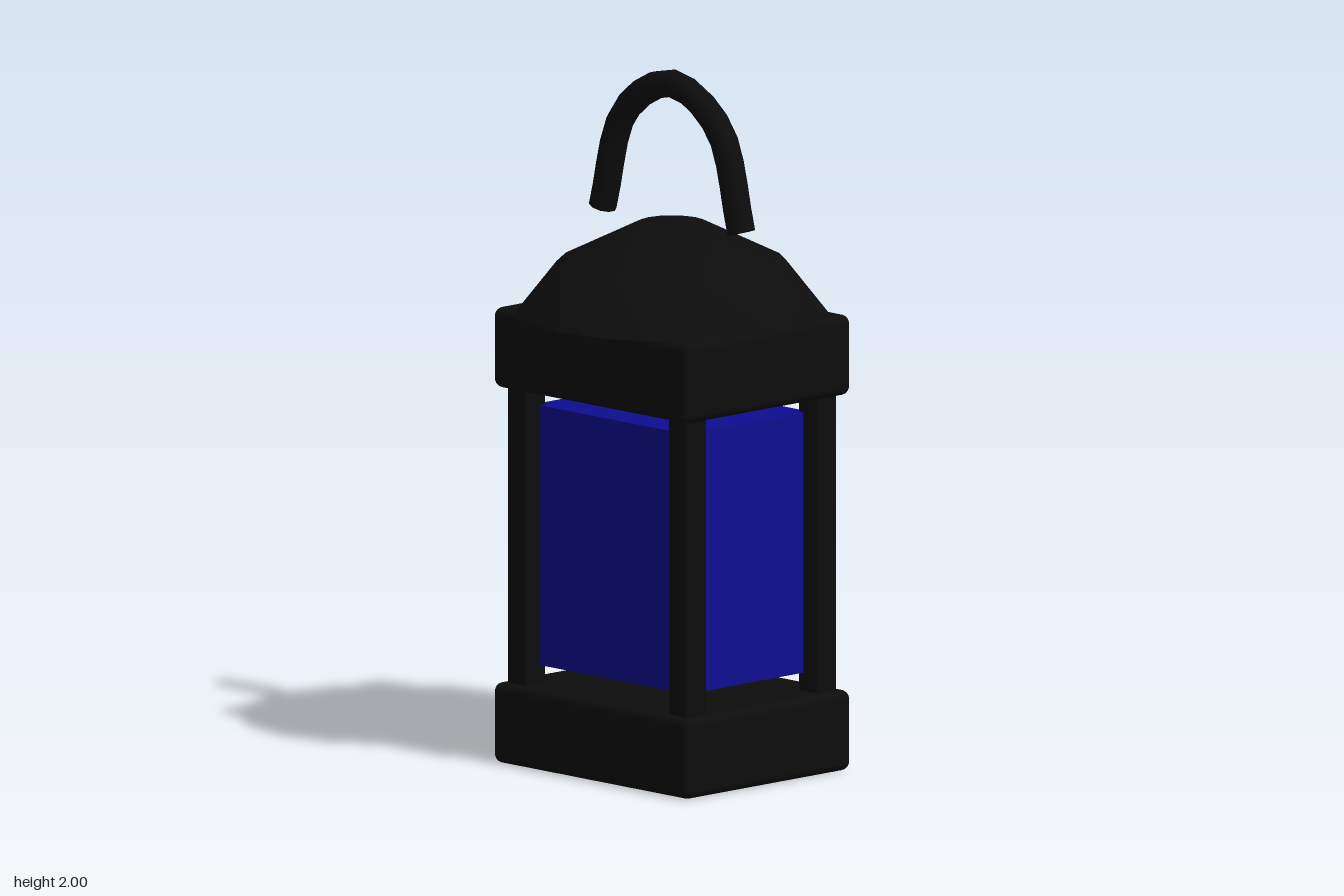
import * as THREE from 'three';
import { RoundedBoxGeometry } from 'three/addons/geometries/RoundedBoxGeometry.js';
import { toCreasedNormals } from 'three/addons/utils/BufferGeometryUtils.js';

const black = new THREE.MeshStandardMaterial({ color: 0x0d0d0d });
const blue = new THREE.MeshStandardMaterial({ color: 0x0d0d90 });

export function createModel() {
  const lantern = new THREE.Group();
  lantern.name = 'lantern';

  const add = (name, geometry, material, x = 0, y = 0, z = 0) => {
    const mesh = new THREE.Mesh(geometry, material);
    mesh.name = name;
    mesh.position.set(x, y, z);
    lantern.add(mesh);
    return mesh;
  };

  // Base and top blocks with softened edges
  const block = new RoundedBoxGeometry(0.79, 0.23, 0.65, 3, 0.025);
  add('base', block, black, 0, 0.117, 0);
  add('topBlock', block, black, 0, 1.193, 0);

  // Four corner posts, sunk into both blocks
  const post = new RoundedBoxGeometry(0.08, 0.92, 0.08, 2, 0.012);
  for (const x of [-0.325, 0.325]) {
    for (const z of [-0.255, 0.255]) add('cornerPost', post, black, x, 0.655, z);
  }

  // Glass body, its corners inside the posts
  add('glass', new THREE.BoxGeometry(0.62, 0.745, 0.48), blue, 0, 0.657, 0);

  // Sixteen-sided domed roof with a flat crown and closed underside
  const profile = [[0, 1.305], [0.44, 1.305], [0.325, 1.45], [0.095, 1.563], [0, 1.563]]
    .map(([r, y]) => new THREE.Vector2(r, y));
  add('roof', toCreasedNormals(new THREE.LatheGeometry(profile, 16), 0.6), black);

  // Arched handle with capped ends
  const arch = new THREE.CatmullRomCurve3(
    [[-0.28, 1.57], [-0.19, 1.855], [0, 1.96], [0.19, 1.855], [0.28, 1.57]]
      .map(([x, y]) => new THREE.Vector3(x, y, 0)));
  add('handle', new THREE.TubeGeometry(arch, 16, 0.04, 10), black);
  for (const t of [0, 1]) {
    const p = arch.getPointAt(t);
    const cap = add('handleEnd', new THREE.CircleGeometry(0.04, 10), black, p.x, p.y, p.z);
    const outward = arch.getTangentAt(t).multiplyScalar(t ? 1 : -1);
    cap.quaternion.setFromUnitVectors(new THREE.Vector3(0, 0, 1), outward);
  }

  return lantern;
}
